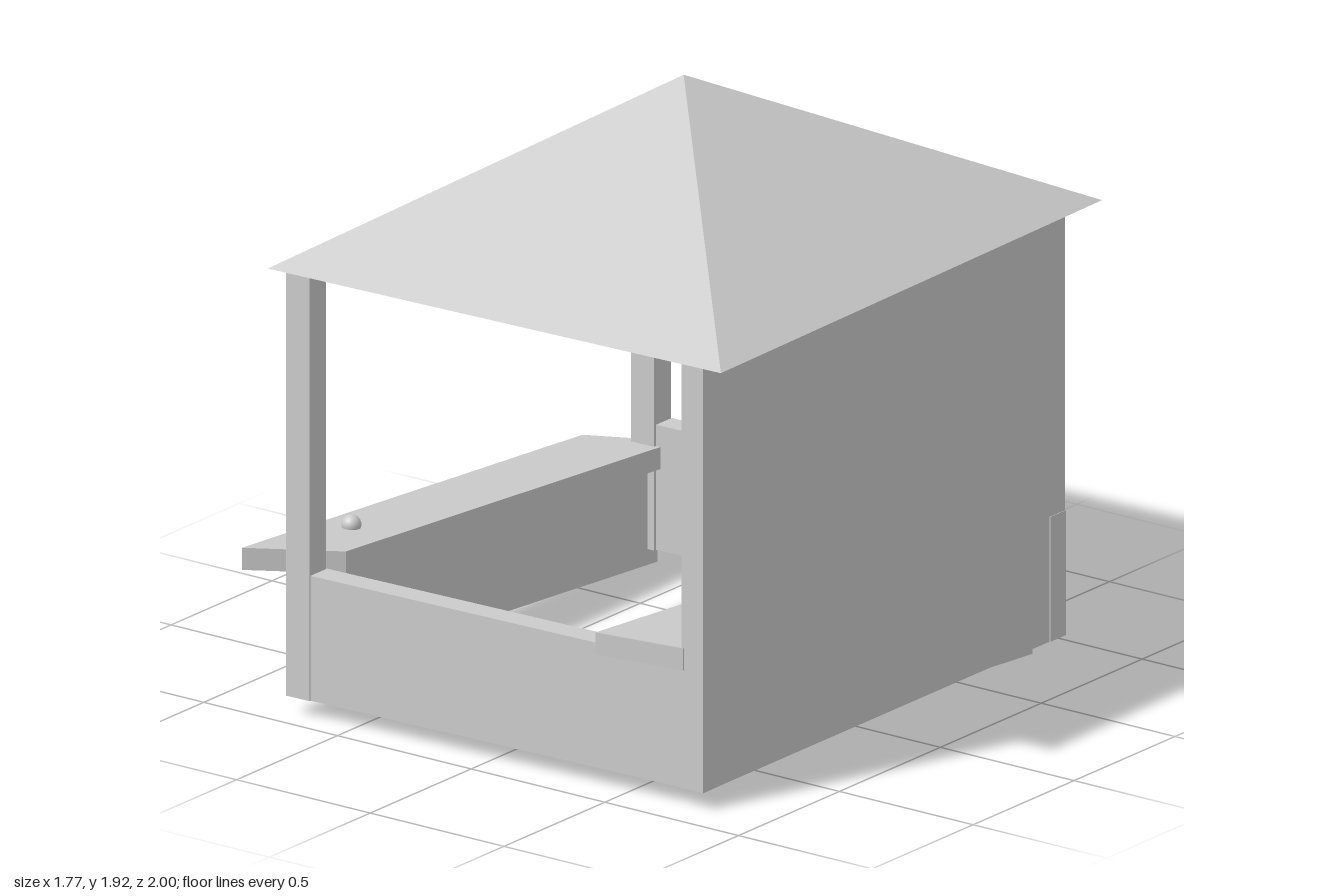
import * as THREE from 'three';

const material = new THREE.MeshStandardMaterial({ color: 0xcccccc, flatShading: true });
const smooth = new THREE.MeshStandardMaterial({ color: 0xcccccc });

export function createModel() {
  const stall = new THREE.Group();
  stall.name = 'tossGameStall';

  function add(name, geometry, x = 0, y = 0, z = 0, mat = material) {
    const mesh = new THREE.Mesh(geometry, mat);
    mesh.name = name;
    mesh.position.set(x, y, z);
    stall.add(mesh);
    return mesh;
  }

  // Slab over a four-cornered footprint (back left, back right, front right,
  // front left as seen from above); slope raises it towards the front.
  function slab(name, corners, bottom, top, slope = 0) {
    const geometry = new THREE.BoxGeometry(1, 1, 1);
    const p = geometry.attributes.position;
    for (let i = 0; i < p.count; i++) {
      const right = p.getX(i) > 0, front = p.getZ(i) > 0;
      const [x, z] = corners[front ? (right ? 2 : 3) : (right ? 1 : 0)];
      p.setXYZ(i, x, (p.getY(i) > 0 ? top : bottom) + slope * z, z);
    }
    geometry.computeVertexNormals();
    return add(name, geometry);
  }

  // Crooked rectangle: the front and back lines run slightly askew
  const skew = (x0, x1, z0, z1) =>
    [[x0, z0], [x1, z0], [x1, z1], [x0, z1]].map(([x, z]) => [x, z - 0.03 * x]);

  // Pyramid roof with a flat underside
  const roof = new THREE.ConeGeometry(1, 0.505, 4, 1);
  const eaves = [[0.885, 0.935], [0.85, -1], [-0.8, -0.94], [-0.765, 0.995]];
  const rp = roof.attributes.position;
  for (let i = 0; i < rp.count; i++) {
    const x = rp.getX(i), z = rp.getZ(i);
    if (Math.hypot(x, z) < 0.5) {
      rp.setX(i, 0.04);
      continue;
    }
    const k = z > 0.5 ? 0 : x > 0.5 ? 1 : z < -0.5 ? 2 : 3;
    rp.setX(i, eaves[k][0]);
    rp.setZ(i, eaves[k][1]);
  }
  roof.computeVertexNormals();
  add('roof', roof, 0, 1.6775, 0);

  // Corner posts
  for (const [x0, x1] of [[-0.745, -0.66], [0.7, 0.78]]) {
    slab('frontPost', skew(x0, x1, 0.825, 0.907), 0.06, 1.425);
    slab('backPost', skew(x0, x1, -0.885, -0.8), 0.06, 1.425);
  }

  // Full-height side wall and low front and back panels
  slab('sideWall', skew(0.745, 0.779, -0.8, 0.9), 0.06, 1.42);
  slab('frontPanel', skew(-0.665, 0.7, 0.82, 0.902), 0.06, 0.455);
  slab('backPanel', skew(-0.665, 0.782, -0.888, -0.81), 0.06, 0.455);

  // Sloping counters with mitred ends, and the panels below them
  const slope = 0.07;
  slab('throwingCounter', [[-0.89, -0.73], [-0.645, -0.88], [-0.635, 0.78], [-0.88, 0.97]], 0.373, 0.443, slope);
  slab('bottleCounter', [[0.42, -0.66], [0.71, -0.86], [0.71, 0.89], [0.42, 0.94]], 0.373, 0.443, slope);
  slab('throwingCounterPanel', [[-0.77, -0.83], [-0.685, -0.83], [-0.675, 0.86], [-0.76, 0.88]], 0.064, 0.38, slope);
  slab('bottleCounterPanel', [[0.58, -0.83], [0.71, -0.84], [0.71, 0.83], [0.6, 0.83]], 0.064, 0.38, slope);

  // Pyramid of bottles along the counter
  const bottle = new THREE.CylinderGeometry(0.022, 0.022, 0.071, 16);
  for (let row = 0; row < 4; row++) {
    for (let i = 0; i < 4 - row; i++) {
      const z = (i - (3 - row) / 2) * 0.07 - 0.02;
      add('bottle', bottle, 0.453, 0.482 + row * 0.071, z, smooth);
    }
  }

  // Ball on the throwing counter
  add('ball', new THREE.SphereGeometry(0.03, 20, 14), -0.78, 0.492, 0.56, smooth);

  // Small crossed hook on the inside of the wall
  for (const [angle, y, z] of [[0.6, 1.13, -0.53], [-1.1, 1.13, -0.5]]) {
    add('wallHook', new THREE.BoxGeometry(0.03, 0.16, 0.018), 0.735, y, z).rotation.x = angle;
  }

  return stall;
}
